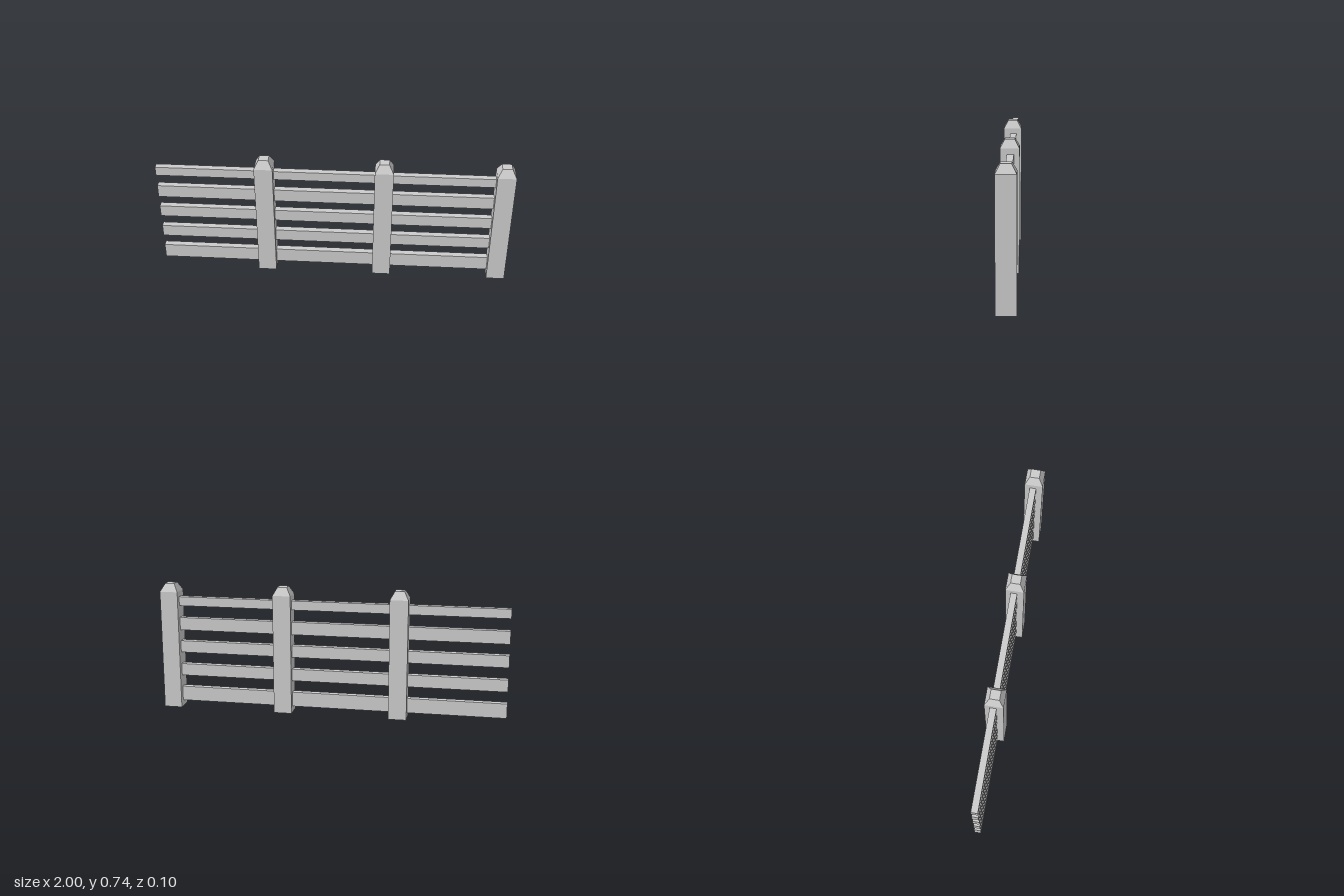
import * as THREE from 'three';

export function createModel() {
  const fence = new THREE.Group();
  fence.name = 'fence';
  const material = new THREE.MeshStandardMaterial({ color: 0xcccccc, flatShading: true });

  function add(name, geometry, parent, x, y, z) {
    const mesh = new THREE.Mesh(geometry, material);
    mesh.name = name;
    mesh.position.set(x, y, z);
    parent.add(mesh);
  }

  // Square posts, each with a bevelled cap
  const half = 0.052, capHalf = 0.027, shoulder = 0.692, top = 0.738;
  const shaft = new THREE.BoxGeometry(half * 2, shoulder, half * 2);
  const cap = new THREE.CylinderGeometry(capHalf * Math.SQRT2, half * Math.SQRT2, top - shoulder, 4);
  cap.rotateY(Math.PI / 4);
  [-0.387, 0.281, 0.948].forEach((x, i) => {
    const post = new THREE.Group();
    post.name = `post${i + 1}`;
    post.position.x = x;
    add('postShaft', shaft, post, 0, shoulder / 2, 0);
    add('postCap', cap, post, 0, (shoulder + top) / 2, 0);
    fence.add(post);
  });

  // Horizontal rails running through the posts: [bottom, top]
  const railStart = -1, railEnd = 0.948;
  [[0.036, 0.121], [0.19, 0.26], [0.33, 0.399], [0.464, 0.538], [0.608, 0.661]].forEach(([y0, y1], i) => {
    const rail = new THREE.BoxGeometry(railEnd - railStart, y1 - y0, 0.037);
    add(`rail${i + 1}`, rail, fence, (railStart + railEnd) / 2, (y0 + y1) / 2, -0.004);
  });

  return fence;
}
